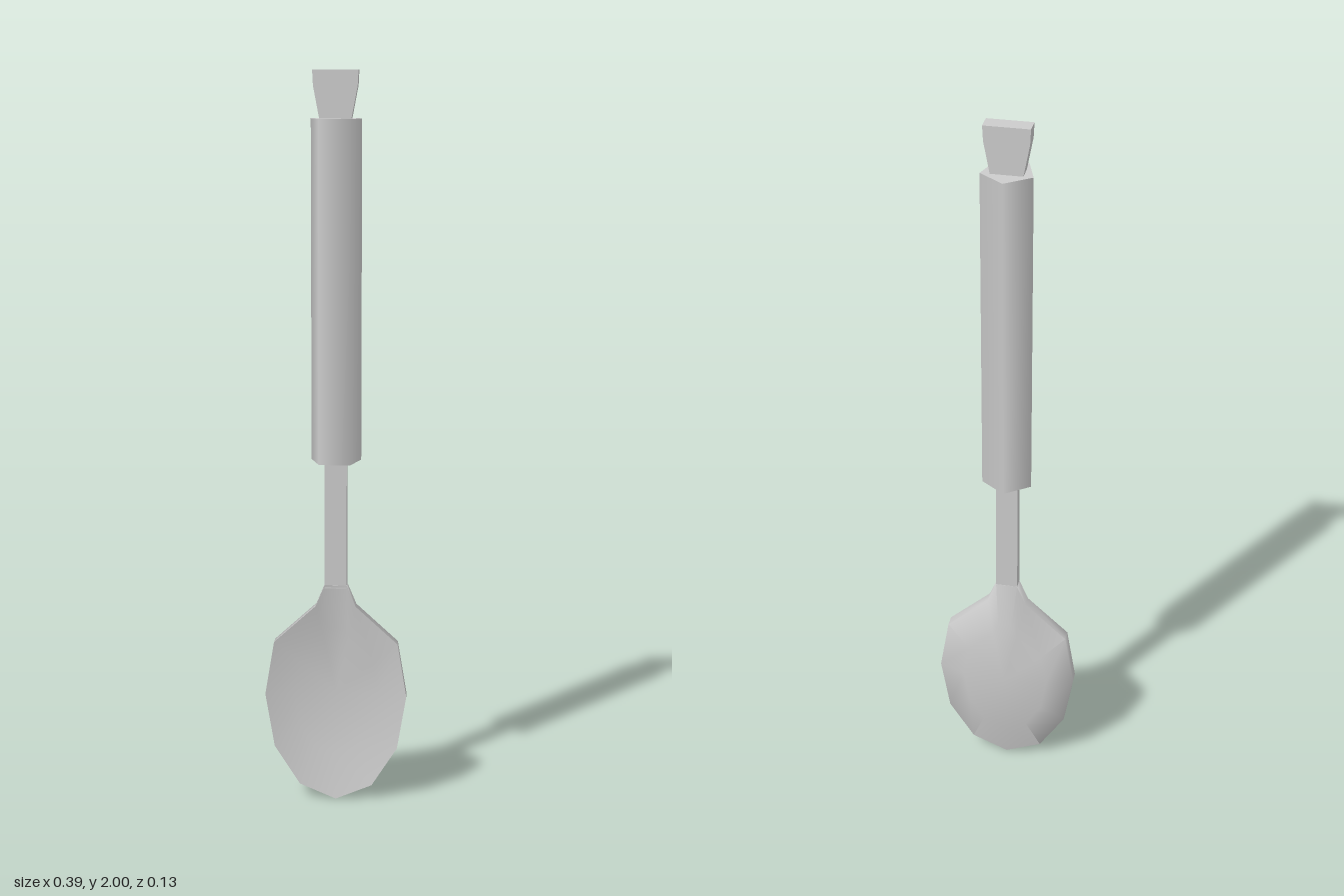
import * as THREE from 'three';
import { toCreasedNormals } from 'three/addons/utils/BufferGeometryUtils.js';

const material = new THREE.MeshStandardMaterial({ color: 0xcccccc });

function addMesh(group, name, geometry) {
  const mesh = new THREE.Mesh(geometry, material);
  mesh.name = name;
  group.add(mesh);
  return mesh;
}

// Bowl: rings of one outline, running from the hollow front, over the rim, to the rounded back
function bowlGeometry() {
  const half = [[0.1, 0.045], [0.17, 0.155], [0.195, 0.305], [0.17, 0.455], [0.055, 0.56], [0.03, 0.62]];
  const outline = [[0, 0.003], ...half, ...half.map(([x, y]) => [-x, y]).reverse()];
  const centreY = 0.305;
  const rings = [[0.6, -0.006], [1, 0.015], [1, -0.017], [0.62, -0.044]]; // scale, z
  const n = outline.length;
  const positions = [0, centreY, -0.014];
  for (const [s, z] of rings) {
    for (const [x, y] of outline) positions.push(x * s, centreY + (y - centreY) * s, z);
  }
  positions.push(0, centreY, -0.056);
  const last = positions.length / 3 - 1;
  const index = [];
  for (let i = 0; i < n; i++) {
    const j = (i + 1) % n;
    index.push(0, 1 + i, 1 + j);
    for (let r = 0; r < rings.length - 1; r++) {
      const a = 1 + r * n, b = a + n;
      index.push(a + i, b + i, b + j, a + i, b + j, a + j);
    }
    const e = 1 + (rings.length - 1) * n;
    index.push(e + i, last, e + j);
  }
  const geometry = new THREE.BufferGeometry();
  geometry.setAttribute('position', new THREE.Float32BufferAttribute(positions, 3));
  geometry.setIndex(index);
  return toCreasedNormals(geometry, 1.3);
}

export function createModel() {
  const group = new THREE.Group();
  group.name = 'spoon';

  addMesh(group, 'bowl', bowlGeometry());

  // Flat neck, running from the bowl into the handle
  addMesh(group, 'neck', new THREE.BoxGeometry(0.06, 0.38, 0.03)).position.set(0, 0.8, -0.001);

  // Five-sided handle with its ridge at the back
  const handle = new THREE.CylinderGeometry(0.0708, 0.0708, 0.91, 5, 1, false, Math.PI);
  addMesh(group, 'handle', handle).position.set(0, 1.42, 0.006);

  // Flared end piece
  const flare = new THREE.Shape([
    [-0.04, 1.865], [0.04, 1.865], [0.058, 1.96], [0.06, 2], [-0.06, 2], [-0.058, 1.96],
  ].map(([x, y]) => new THREE.Vector2(x, y)));
  const end = new THREE.ExtrudeGeometry(flare, { depth: 0.044, bevelEnabled: false });
  addMesh(group, 'endPiece', toCreasedNormals(end, 0.6)).position.z = -0.016;

  return group;
}
